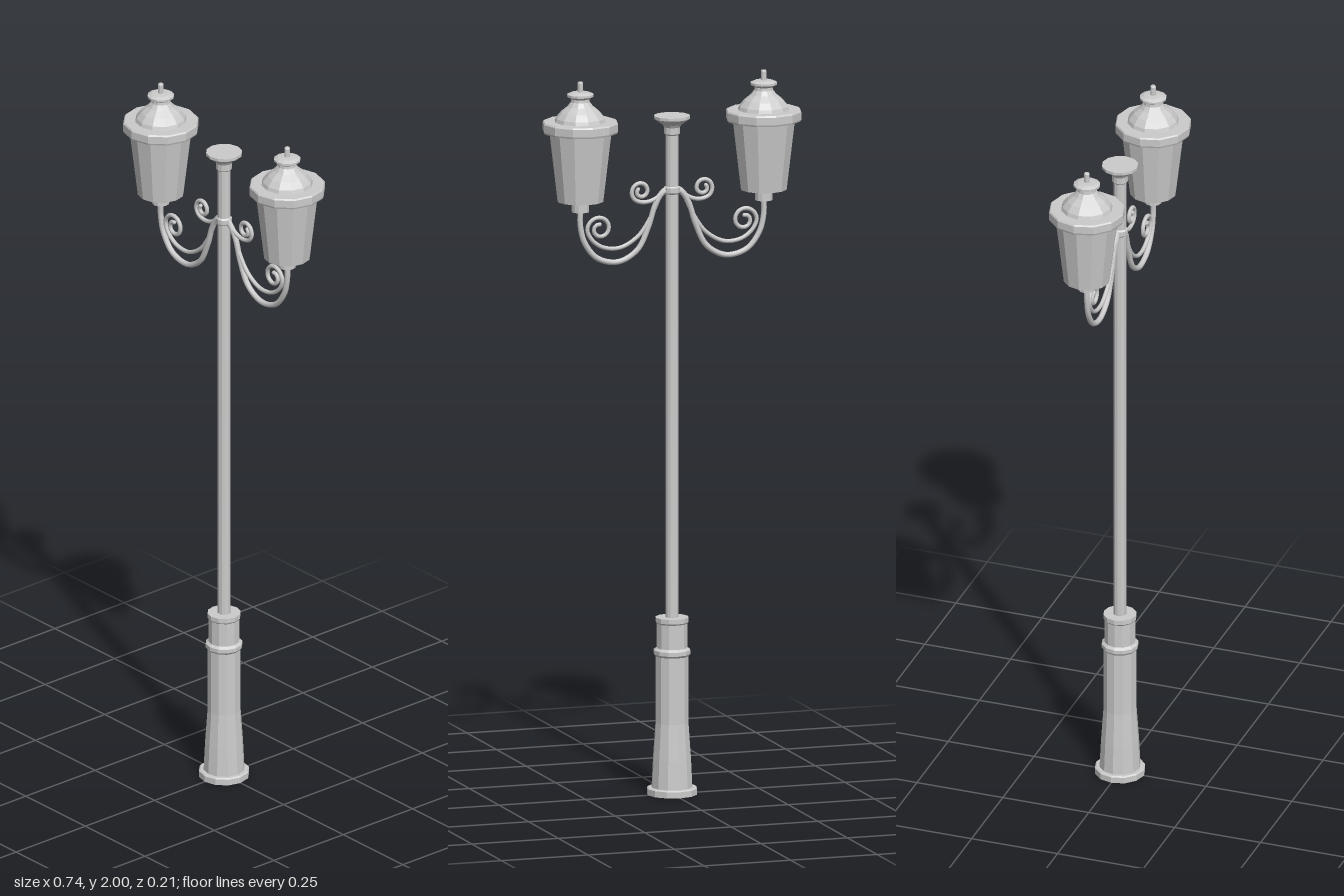
import * as THREE from 'three';

const SIDES = 12;
const flat = new THREE.MeshStandardMaterial({ color: 0xcccccc, flatShading: true });
const smooth = new THREE.MeshStandardMaterial({ color: 0xcccccc });

// Faceted turned part from [radius, height] pairs, listed bottom to top
function turned(name, profile, x = 0) {
  const points = profile.map(([r, y]) => new THREE.Vector2(r, y));
  const mesh = new THREE.Mesh(new THREE.LatheGeometry(points, SIDES), flat);
  mesh.position.x = x;
  mesh.name = name;
  return mesh;
}

// Bent iron bar in the x-y plane with closed ends
function bar(name, path, radius, side) {
  const group = new THREE.Group();
  group.name = name;
  const curve = new THREE.CatmullRomCurve3(path.map(([x, y]) => new THREE.Vector3(x * side, y, 0)));
  group.add(new THREE.Mesh(new THREE.TubeGeometry(curve, 56, radius, 8), smooth));
  for (const t of [0, 1]) {
    const end = new THREE.Mesh(new THREE.SphereGeometry(radius, 8, 6), smooth);
    end.position.copy(curve.getPoint(t));
    group.add(end);
  }
  return group;
}

// Spiral points winding inwards around a centre
function spiral(cx, cy, r0, r1, start, turns, steps) {
  return Array.from({ length: steps + 1 }, (_, i) => {
    const t = i / steps;
    const a = start + t * turns * Math.PI * 2;
    const r = r0 + (r1 - r0) * t;
    return [cx + r * Math.cos(a), cy + r * Math.sin(a)];
  });
}

function lantern(side) {
  const x = 0.265 * side;
  const group = new THREE.Group();
  group.name = side > 0 ? 'leftLantern' : 'rightLantern';
  group.add(
    turned('lanternSocket', [[0, 1.638], [0.024, 1.638], [0.024, 1.672], [0, 1.672]], x),
    turned('lanternBody', [[0, 1.668], [0.064, 1.668], [0.087, 1.862], [0, 1.862]], x),
    turned('lanternRim', [[0, 1.86], [0.103, 1.86], [0.105, 1.865], [0.105, 1.886], [0.102, 1.89], [0, 1.89]], x),
    turned('lanternRoof', [[0.072, 1.888], [0.068, 1.9], [0.054, 1.917], [0.036, 1.932], [0.026, 1.945],
      [0.025, 1.953], [0.037, 1.96], [0.037, 1.966], [0.026, 1.971], [0, 1.973]], x),
    turned('lanternFinial', [[0.008, 1.968], [0.008, 1.997], [0.006, 2], [0, 2]], x),
  );
  return group;
}

function bracket(side) {
  const group = new THREE.Group();
  group.name = side > 0 ? 'leftBracket' : 'rightBracket';
  // Main arm sweeps down from the post and up to the lantern
  group.add(bar('mainArm', [[0, 1.684], [0.025, 1.678], [0.048, 1.645], [0.068, 1.585], [0.1, 1.522], [0.155, 1.492],
    [0.215, 1.505], [0.252, 1.55], [0.265, 1.6], [0.265, 1.65]], 0.008, side));
  // Inner arm ends in a scroll beneath the lantern
  group.add(bar('lowerScroll', [[0.04, 1.655], [0.062, 1.61], [0.098, 1.56], [0.15, 1.531], [0.2, 1.535], [0.232, 1.558],
    ...spiral(0.209, 1.587, 0.036, 0.012, 0, 1.25, 12)], 0.006, side));
  // Small scroll curls above the arm
  group.add(bar('upperScroll', [[0, 1.69], [0.022, 1.685], [0.045, 1.663], [0.068, 1.654],
    ...spiral(0.09, 1.684, 0.03, 0.01, -Math.PI / 2, 1.35, 12)], 0.006, side));
  return group;
}

export function createModel() {
  const model = new THREE.Group();
  model.name = 'streetLamp';

  // Stepped base and post
  model.add(
    turned('foot', [[0, 0], [0.07, 0], [0.07, 0.017], [0.066, 0.02], [0, 0.02]]),
    turned('baseColumn', [[0.057, 0.018], [0.053, 0.1], [0.046, 0.2], [0.046, 0.385], [0.051, 0.391], [0.051, 0.402],
      [0.043, 0.408], [0.043, 0.476], [0.046, 0.48], [0.046, 0.493], [0, 0.493]]),
    turned('post', [[0.018, 0.48], [0.018, 1.88]]),
    turned('bracketCollar', [[0.018, 1.672], [0.022, 1.676], [0.022, 1.69], [0.018, 1.694]]),
    turned('postCap', [[0.018, 1.836], [0.022, 1.84], [0.022, 1.858], [0.027, 1.866], [0.05, 1.882], [0.05, 1.89], [0, 1.89]]),
  );

  for (const side of [1, -1]) model.add(bracket(side), lantern(side));
  return model;
}
